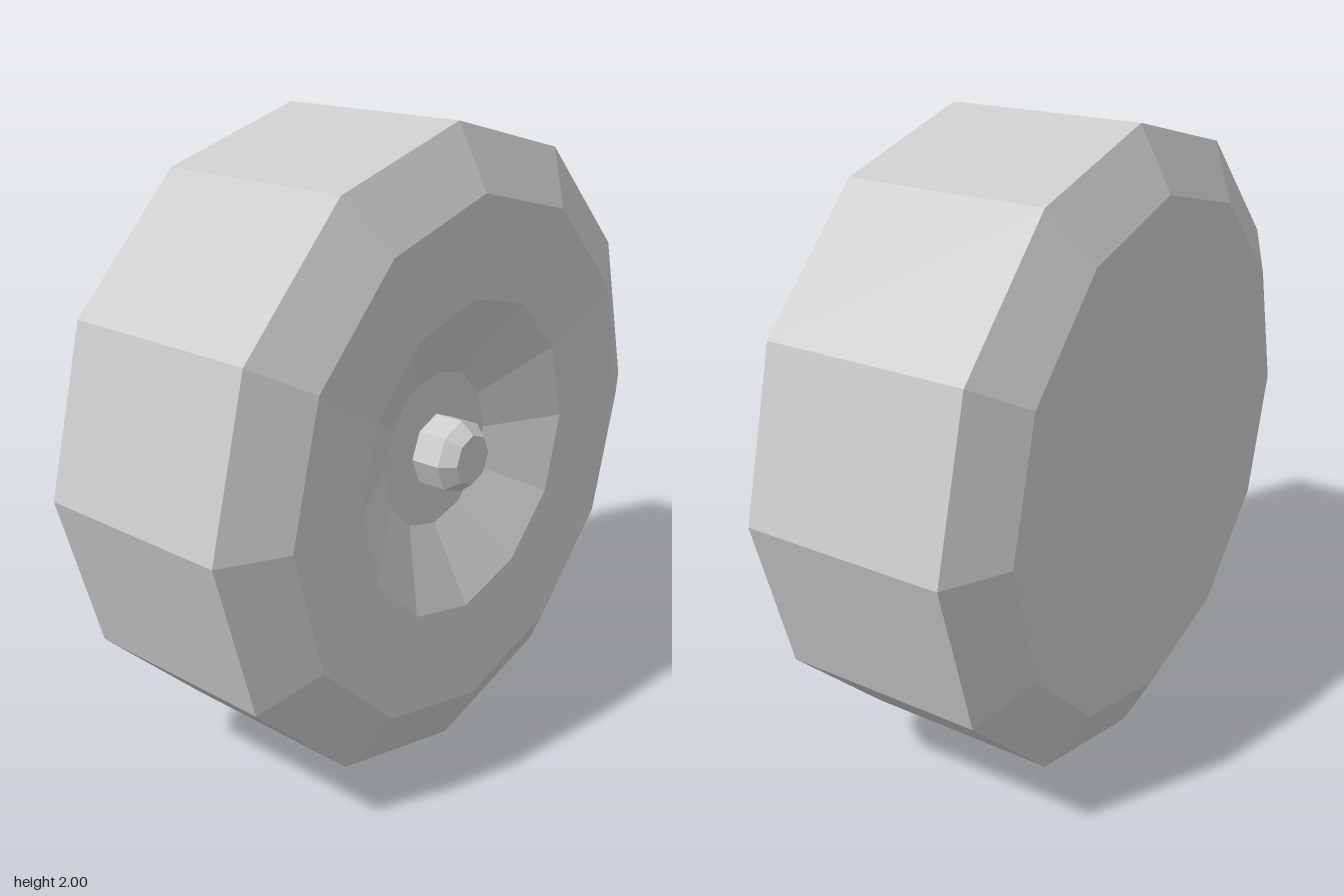
import * as THREE from 'three';

const material = new THREE.MeshStandardMaterial({ color: 0xcccccc, flatShading: true });

// Faceted part turned around the x axis from [radius, x] pairs, listed from -x along the outside
function turned(name, sides, profile) {
  const points = profile.map(([r, x]) => new THREE.Vector2(r, x));
  const geometry = new THREE.LatheGeometry(points, sides);
  geometry.rotateZ(-Math.PI / 2);
  const mesh = new THREE.Mesh(geometry, material);
  mesh.name = name;
  return mesh;
}

export function createModel() {
  const wheel = new THREE.Group();
  wheel.name = 'wheel';

  // Flat inner face
  wheel.add(turned('backPlate', 12, [[0, -0.42], [0.81, -0.42]]));
  // Tread with bevelled shoulders
  wheel.add(turned('tyre', 12, [[0.81, -0.42], [1, -0.32], [1, 0.32], [0.81, 0.42]]));
  // Shallow sidewall, sloping dish and flat floor
  wheel.add(turned('rimDish', 12, [[0.81, 0.42], [0.5, 0.39], [0.25, 0.26], [0, 0.26]]));
  // Chamfered eight-sided hub standing on the dish floor
  wheel.add(turned('hub', 8, [[0.116, 0.26], [0.116, 0.355], [0.08, 0.4], [0, 0.4]]));

  // Stand the wheel on the ground
  wheel.position.y = 1;
  const model = new THREE.Group();
  model.name = 'wheelModel';
  model.add(wheel);
  return model;
}
